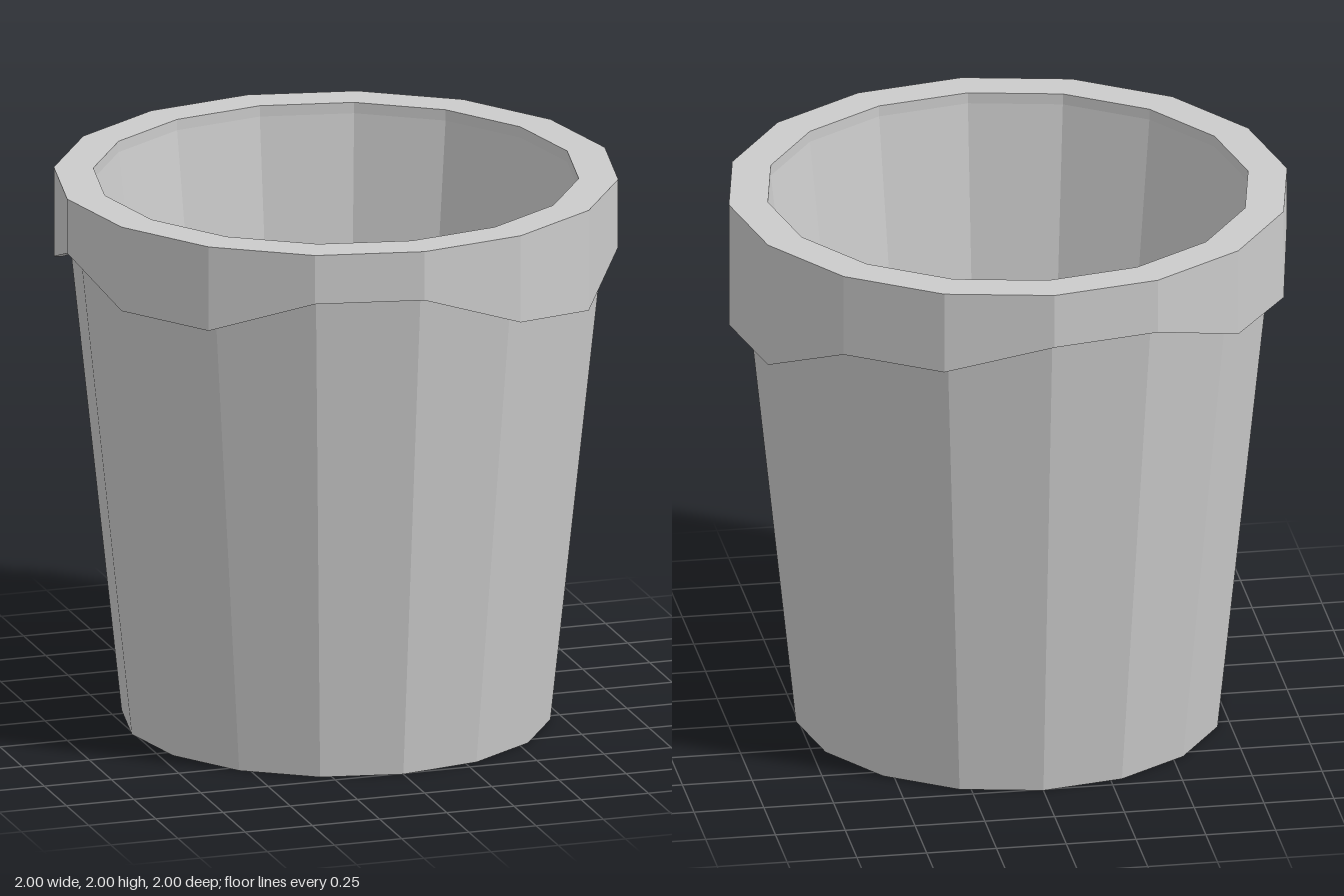
import * as THREE from 'three';

const SIDES = 16;

// Lower edge of the folded-over skirt at each corner, from +z towards +x
const HEM = [1.82, 1.68, 1.63, 1.75, 1.54, 1.54, 1.70, 1.70,
  1.80, 1.80, 1.68, 1.67, 1.80, 1.69, 1.69, 1.82];

const lathe = (profile) =>
  new THREE.LatheGeometry(profile.map(([r, y]) => new THREE.Vector2(r, y)), SIDES);

export function createModel() {
  const group = new THREE.Group();
  const material = new THREE.MeshStandardMaterial({ color: 0xcccccc, flatShading: true });

  const add = (name, geometry) => {
    const mesh = new THREE.Mesh(geometry, material);
    mesh.name = name;
    group.add(mesh);
  };

  // Tapered bin: underside, outer wall, inner wall and floor
  add('binBody', lathe([
    [0, 0], [0.76, 0], [0.968, 1.96], [0.86, 1.96], [0.64, 0.06], [0, 0.06],
  ]));

  // Rim with an overhanging skirt; its two lower rings follow the uneven hem
  const profile = [[0.97, 1.97], [0.97, 1.7], [1, 1.7], [1, 2], [0.86, 2], [0.86, 1.95]];
  const rim = lathe(profile);
  const pos = rim.attributes.position;
  for (let i = 0; i <= SIDES; i++) {
    for (const ring of [1, 2]) pos.setY(i * profile.length + ring, HEM[i % SIDES]);
  }
  rim.computeVertexNormals();
  add('rimSkirt', rim);

  return group;
}
